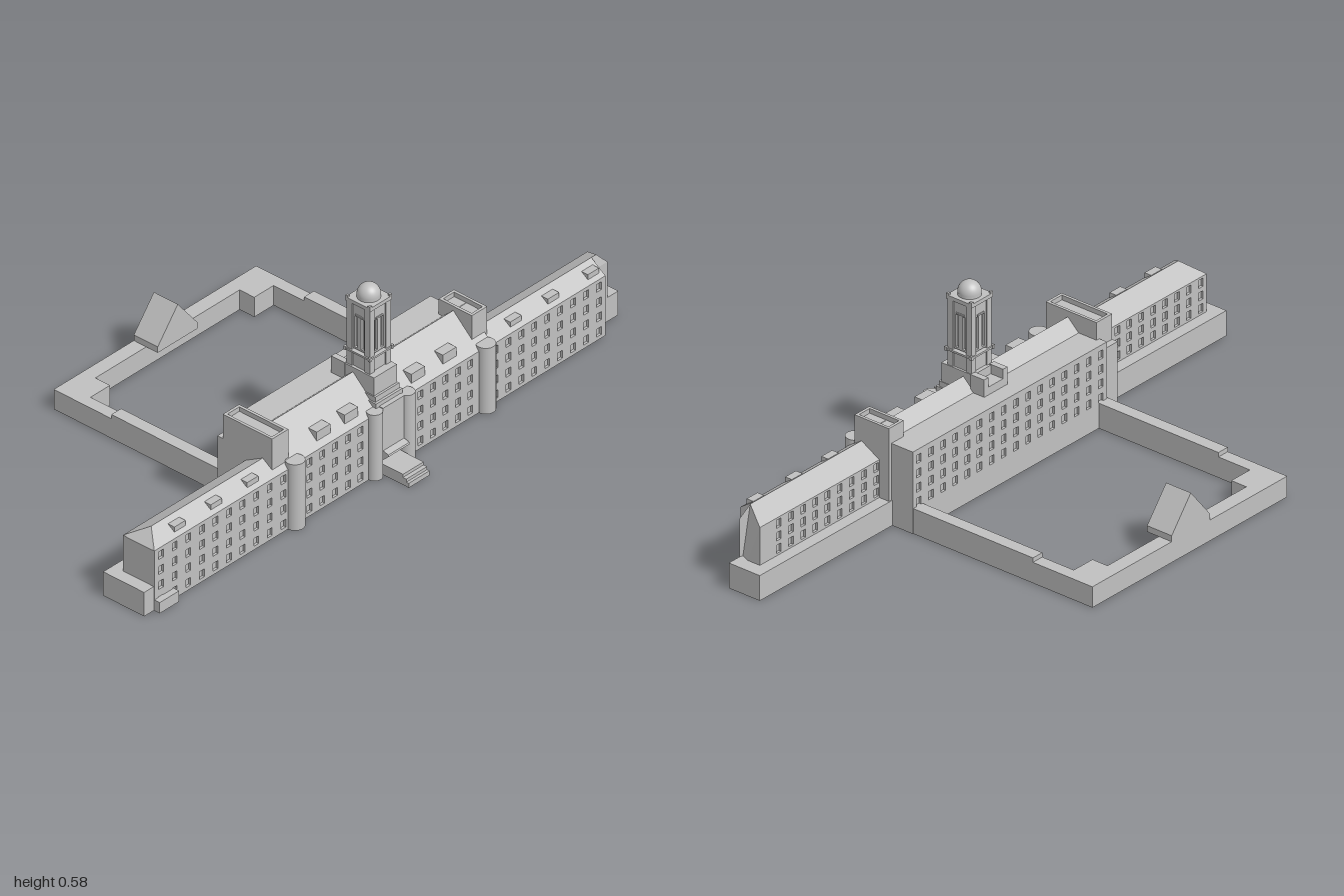
import * as THREE from 'three';

export function createModel() {
  const model = new THREE.Group();
  const stone = new THREE.MeshStandardMaterial({ color: 0xc0c0c0 });
  stone.name = 'stone grey';
  const WALL = 0.008; // depth of the window reveals

  function add(name, geo, parent = model) {
    const m = new THREE.Mesh(geo, stone);
    m.name = name;
    parent.add(m);
    return m;
  }
  // box from its extents
  function box(name, x0, x1, y0, y1, z0, z1, parent) {
    const g = new THREE.BoxGeometry(x1 - x0, y1 - y0, z1 - z0);
    g.translate((x0 + x1) / 2, (y0 + y1) / 2, (z0 + z1) / 2);
    return add(name, g, parent);
  }
  function polygon(pts) {
    return new THREE.Shape(pts.map(p => new THREE.Vector2(p[0], p[1])));
  }
  // (z, y) profile run along x; points above hipY are pulled in at the ends
  function prismX(name, pts, x0, x1, hip0 = 0, hip1 = 0, hipY = 9) {
    const g = new THREE.ExtrudeGeometry(polygon(pts), { depth: x1 - x0, bevelEnabled: false });
    g.rotateY(-Math.PI / 2).translate(x1, 0, 0);
    const p = g.attributes.position;
    for (let i = 0; i < p.count; i++) {
      if (p.getY(i) > hipY) p.setX(i, p.getX(i) < (x0 + x1) / 2 ? x0 + hip0 : x1 - hip1);
    }
    g.computeVertexNormals();
    return add(name, g);
  }
  // wall sheet pierced by a regular grid of openings
  function facade(name, w, h, cols, rows, ww, wh, parent = model) {
    const s = polygon([[0, 0], [w, 0], [w, h], [0, h]]);
    for (let c = 0; c < cols; c++) for (let r = 0; r < rows; r++) {
      const x = (c + 0.5) * w / cols - ww / 2, y = (r + 0.5) * h / rows - wh / 2;
      const hole = new THREE.Path();
      hole.moveTo(x, y).lineTo(x, y + wh).lineTo(x + ww, y + wh).lineTo(x + ww, y).closePath();
      s.holes.push(hole);
    }
    return add(name, new THREE.ExtrudeGeometry(s, { depth: WALL, bevelEnabled: false }), parent);
  }
  function frontWall(name, x0, x1, y0, y1, z, cols, rows) {
    facade(name, x1 - x0, y1 - y0, cols, rows, 0.02, 0.026).position.set(x0, y0, z - WALL);
  }
  function backWall(name, x0, x1, y0, y1, z, cols, rows) {
    const m = facade(name, x1 - x0, y1 - y0, cols, rows, 0.02, 0.026);
    m.rotation.y = Math.PI;
    m.position.set(x1, y0, z + WALL);
  }

  // long side wings with pitched roofs
  const wing = [[0.38, 0], [0.38, 0.199], [0.388, 0.2], [0.335, 0.237], [0.27, 0.2], [0.278, 0.199], [0.278, 0]];
  prismX('leftEndWing', wing, -0.96, -0.4, 0.045, 0, 0.22);
  prismX('rightEndWing', wing, 0.4, 0.9);
  prismX('rightWingEnd', [[0.345, 0], [0.345, 0.2], [0.335, 0.237], [0.27, 0.2], [0.27, 0]], 0.9, 0.955, 0, 0.035, 0.22);
  frontWall('wingFrontWall', -0.96, -0.4, 0, 0.2, 0.388, 10, 4);
  frontWall('wingFrontWall', 0.42, 0.9, 0, 0.2, 0.388, 9, 4);
  backWall('wingBackWall', -0.96, -0.45, 0.08, 0.2, 0.27, 10, 3);
  backWall('wingBackWall', 0.43, 0.9, 0.08, 0.2, 0.27, 9, 3);

  // low annexes behind and at the ends of the wings
  box('rearAnnex', -1, -0.4, 0, 0.08, 0.232, 0.3);
  box('endAnnex', -1, -0.95, 0, 0.08, 0.232, 0.386);
  box('rearAnnex', 0.42, 1, 0, 0.08, 0.232, 0.345);
  box('lowPorch', -0.96, -0.88, 0, 0.036, 0.38, 0.408);

  // central block: flat rear roof, steep ridge towards the front
  prismX('centralBlock', [[0.38, 0], [0.38, 0.204], [0.388, 0.205], [0.29, 0.297], [0.25, 0.26],
    [0.157, 0.26], [0.157, 0.252], [0.165, 0.252], [0.165, 0]], -0.4, 0.432);
  frontWall('centralFrontWall', -0.4, -0.03, 0, 0.205, 0.388, 7, 4);
  frontWall('centralFrontWall', 0.06, 0.42, 0, 0.205, 0.388, 7, 4);
  backWall('centralBackWall', -0.4, 0.432, 0.07, 0.252, 0.157, 16, 4);
  box('centralBackPlinth', -0.4, 0.432, 0, 0.07, 0.157, 0.17);

  // roof dormers
  for (const x of [-0.84, -0.69, -0.54, 0.545, 0.7, 0.865])
    box('wingDormer', x - 0.023, x + 0.023, 0.2, 0.226, 0.345, 0.375);
  for (const x of [-0.245, -0.13, 0.145, 0.275])
    box('centralDormer', x - 0.028, x + 0.028, 0.215, 0.25, 0.325, 0.372);

  // pavilions with raised parapets
  function pavilion(x0, x1, z0, z1, top) {
    const g = new THREE.Group(), t = 0.009;
    g.name = 'pavilion';
    box('pavilionBody', x0, x1, 0, top - 0.015, z0, z1, g);
    box('parapet', x0, x0 + t, top - 0.015, top, z0, z1, g);
    box('parapet', x1 - t, x1, top - 0.015, top, z0, z1, g);
    box('parapet', x0 + t, x1 - t, top - 0.015, top, z0, z0 + t, g);
    box('parapet', x0 + t, x1 - t, top - 0.015, top, z1 - t, z1, g);
    model.add(g);
  }
  pavilion(-0.455, -0.388, 0.185, 0.37, 0.316);
  pavilion(0.38, 0.443, 0.235, 0.36, 0.311);
  box('pavilionRear', -0.455, -0.39, 0, 0.235, 0.165, 0.2);

  // round bays on the front
  for (const [x, r] of [[-0.38, 0.029], [0.407, 0.029], [-0.052, 0.024], [0.081, 0.024]]) {
    const c = add('roundBay', new THREE.CylinderGeometry(r, r, 0.22, 24));
    c.position.set(x, 0.11, 0.388);
  }

  // entrance bay with sloped soffit over the door, and steps
  prismX('entranceBay', [[0.35, 0], [0.385, 0], [0.385, 0.035], [0.422, 0.07], [0.42, 0.075],
    [0.4, 0.08], [0.4, 0.222], [0.35, 0.222]], -0.03, 0.057);
  const stairs = [[0.497, 0.015], [0.488, 0.025], [0.475, 0.035]];
  for (const [z, y] of stairs) box('entranceStep', -0.03, 0.055, y - 0.015, y, 0.38, z);
  box('stairBase', -0.03, 0.055, 0, 0.02, 0.38, 0.475);

  // clock-style tower
  const tower = new THREE.Group();
  tower.name = 'tower';
  model.add(tower);
  const cx = 0.014, cz = 0.306;
  box('towerFoot', -0.042, 0.066, 0.18, 0.235, 0.3, 0.385, tower);
  box('towerFoot', -0.037, 0.062, 0.2, 0.252, 0.3, 0.377, tower);
  box('towerBase', -0.034, 0.06, 0.2, 0.312, 0.255, 0.37, tower);
  box('towerRearStep', -0.02, 0.048, 0.25, 0.285, 0.21, 0.26, tower);
  for (const x of [-0.036, 0.045])
    box('towerRearPost', x, x + 0.019, 0.25, 0.315, 0.21, 0.26, tower);
  box('towerCore', cx - 0.032, cx + 0.032, 0.3, 0.525, cz - 0.032, cz + 0.032, tower);
  for (let i = 0; i < 4; i++) {
    const side = new THREE.Group();
    side.name = 'towerSide';
    side.position.set(cx, 0, cz);
    side.rotation.y = i * Math.PI / 2;
    tower.add(side);
    facade('slottedPanel', 0.05, 0.115, 2, 1, 0.011, 0.103, side).position.set(-0.025, 0.37, 0.031);
    box('upperPanel', -0.025, 0.025, 0.485, 0.525, 0.03, 0.039, side);
    box('panelSill', -0.014, 0.014, 0.482, 0.487, 0.03, 0.042, side);
    box('lowerPanel', -0.025, 0.025, 0.31, 0.36, 0.03, 0.039, side);
    box('cornerPier', 0.024, 0.0435, 0.31, 0.525, 0.024, 0.0435, side);
    box('cornerFinial', 0.042, 0.05, 0.358, 0.37, 0.042, 0.05, side);
    box('topFinial', 0.038, 0.046, 0.53, 0.54, 0.038, 0.046, side);
  }
  box('towerLedge', cx - 0.048, cx + 0.048, 0.36, 0.366, cz - 0.048, cz + 0.048, tower);
  box('towerCornice', cx - 0.046, cx + 0.046, 0.522, 0.534, cz - 0.046, cz + 0.046, tower);
  const drum = add('domeDrum', new THREE.CylinderGeometry(0.034, 0.034, 0.012, 32), tower);
  drum.position.set(cx, 0.538, cz);
  const dome = add('dome', new THREE.SphereGeometry(0.034, 32, 16, 0, Math.PI * 2, 0, Math.PI / 2), tower);
  dome.position.set(cx, 0.543, cz);

  // courtyard ranges at the rear
  for (const [x0, x1, inner0, inner1] of [[-0.405, -0.365, -0.405, -0.285], [0.39, 0.43, 0.31, 0.43]]) {
    box('courtyardArm', x0, x1, 0, 0.08, -0.28, 0.17);
    box('courtyardLowArm', x0, x1, 0, 0.066, -0.395, -0.28);
    box('courtyardCorner', inner0, inner1, 0, 0.066, -0.497, -0.395);
  }
  box('courtyardBackRange', -0.285, 0.31, 0, 0.066, -0.497, -0.45);

  // gabled gatehouse on the back range
  const gate = new THREE.ExtrudeGeometry(
    polygon([[-0.075, 0.0655], [0.09, 0.0655], [0.09, 0.085], [0.008, 0.187], [-0.075, 0.085]]),
    { depth: 0.09, bevelEnabled: false });
  gate.translate(0, 0, -0.497);
  add('gatehouse', gate);

  return model;
}
